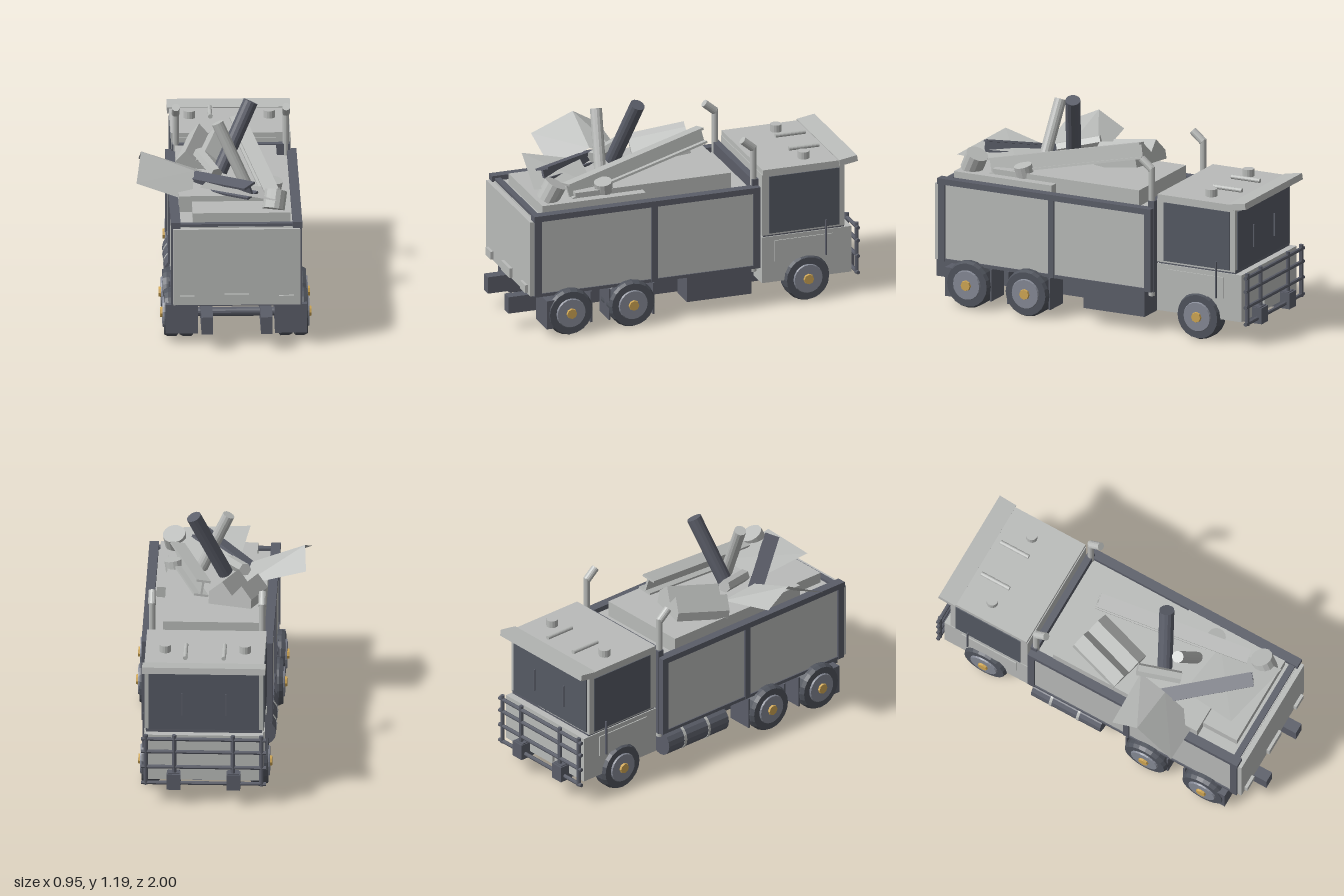
import * as THREE from 'three';

const mat = (name, color) => new THREE.MeshStandardMaterial({ name, color, flatShading: true });

export function createModel() {
  const light = mat('light grey paint', 0xb9bbb9);
  const dark = mat('dark frame grey', 0x5b5e69);
  const glass = mat('window grey', 0x555a64);
  const rubber = mat('tyre grey', 0x50545d);
  const rim = mat('rim grey', 0x858995);
  const gold = mat('hub gold', 0xcfa653);
  const sheetMat = mat('sheet grey', 0xb9bbb9);
  sheetMat.side = THREE.DoubleSide;

  const model = new THREE.Group();
  model.name = 'scrapTruck';
  const truck = new THREE.Group();
  truck.name = 'truck';
  truck.position.x = 0.067;
  const scrap = new THREE.Group();
  scrap.name = 'scrapLoad';
  model.add(truck, scrap);

  const V = (a) => new THREE.Vector3(...a);
  function add(parent, name, geo, m) {
    const mesh = new THREE.Mesh(geo, m);
    mesh.name = name;
    parent.add(mesh);
    return mesh;
  }
  // Box given by its limits on each axis
  function box(name, m, [x0, x1], [y0, y1], [z0, z1], parent = truck) {
    const b = add(parent, name, new THREE.BoxGeometry(x1 - x0, y1 - y0, z1 - z0), m);
    b.position.set((x0 + x1) / 2, (y0 + y1) / 2, (z0 + z1) / 2);
    return b;
  }
  function pair(name, m, [x0, x1], y, z) {
    box(name, m, [x0, x1], y, z);
    box(name, m, [-x1, -x0], y, z);
  }
  // Cylinder between two points
  function rod(name, m, a, b, r, parent = truck, sides = 14) {
    const p = V(a), q = V(b), d = q.clone().sub(p);
    const c = add(parent, name, new THREE.CylinderGeometry(r, r, d.length(), sides), m);
    c.position.copy(p).add(q).multiplyScalar(0.5);
    c.quaternion.setFromUnitVectors(new THREE.Vector3(0, 1, 0), d.normalize());
    return c;
  }
  // Section extruded from a to b
  function beam(name, m, a, b, pts, roll = 0) {
    const shape = new THREE.Shape(pts.map((p) => new THREE.Vector2(...p)));
    const depth = V(a).distanceTo(V(b));
    const geo = new THREE.ExtrudeGeometry(shape, { depth, bevelEnabled: false }).rotateZ(roll);
    const mesh = add(scrap, name, geo, m);
    mesh.position.set(...a);
    mesh.lookAt(...b);
  }
  // Thin quad from four corners
  function quad(name, pts) {
    const g = new THREE.BufferGeometry();
    g.setAttribute('position', new THREE.Float32BufferAttribute(pts.flat(), 3));
    g.setIndex([0, 1, 2, 0, 2, 3]);
    g.computeVertexNormals();
    add(scrap, name, g, sheetMat);
  }

  // Chassis
  pair('chassisRail', dark, [0.13, 0.193], [0.095, 0.19], [-0.99, 1]);
  box('chassisFloor', dark, [-0.32, 0.32], [0.225, 0.24], [-0.4, 0.9]);
  box('cabFloor', dark, [-0.13, 0.13], [0.12, 0.135], [-0.92, -0.45]);

  // Cargo body
  box('cargoBody', light, [-0.345, 0.345], [0.24, 0.675], [-0.37, 0.9]);
  box('tailgate', light, [-0.345, 0.345], [0.24, 0.67], [0.9, 0.93]);
  for (const x of [-0.27, 0, 0.27]) {
    const w = x ? 0.04 : 0.067;
    box('tailgateLatch', light, [x - w, x + w], [0.25, x ? 0.295 : 0.305], [0.93, 0.947]);
  }
  pair('topRail', dark, [0.305, 0.357], [0.67, 0.703], [-0.4, 0.91]);
  pair('bottomRail', dark, [0.32, 0.352], [0.232, 0.25], [-0.4, 0.9]);
  for (const [z0, z1] of [[0.865, 0.905], [0.195, 0.23], [-0.4, -0.36]])
    pair('sidePost', dark, [0.32, 0.356], [0.235, 0.7], [z0, z1]);
  box('rearTopRail', dark, [-0.31, 0.31], [0.66, 0.69], [0.86, 0.895]);
  box('headboard', dark, [-0.322, 0.322], [0.23, 0.74], [-0.402, -0.365]);

  // Stepped cargo mound
  box('rearLoadBlock', light, [-0.17, 0.36], [0.67, 0.735], [0.24, 0.84], scrap);
  box('frontLoadBlock', light, [-0.24, 0.31], [0.67, 0.765], [-0.27, 0.63], scrap);

  // Wheels
  function wheel(side, outer, width, z) {
    const g = new THREE.Group();
    g.name = 'wheel';
    g.position.set(side * outer, 0.132, z);
    g.rotation.z = -side * Math.PI / 2;
    truck.add(g);
    const n = width > 0.12 ? 2 : 1, w = width / n;
    for (let i = 0; i < n; i++) {
      const profile = [[0, -w], [0.11, -w], [0.132, -w * 0.8], [0.132, -w * 0.25], [0.122, 0], [0, 0]];
      const t = add(g, 'tyre', new THREE.LatheGeometry(profile.map((p) => new THREE.Vector2(...p)), 20), rubber);
      t.position.y = -i * w;
    }
    add(g, 'wheelRim', new THREE.CylinderGeometry(0.08, 0.086, 0.012, 20), rim).position.y = 0.003;
    add(g, 'hubCap', new THREE.CylinderGeometry(0.028, 0.032, 0.022, 8), gold).position.y = 0.01;
  }
  for (const s of [-1, 1]) {
    wheel(s, 0.39, 0.165, 0.71);
    wheel(s, 0.39, 0.165, 0.35);
    wheel(s, 0.343, 0.1, -0.68);
  }
  for (const z of [0.71, 0.35, -0.68])
    rod('axle', dark, [-0.3, 0.132, z], [0.3, 0.132, z], 0.025);
  pair('rearMudguard', dark, [0.21, 0.385], [0.052, 0.215], [0.74, 0.848]);
  for (const z of [0.22, 0.475, 0.58])
    pair('mudflap', dark, [0.21, 0.36], [0.05, 0.23], [z - 0.005, z + 0.005]);

  // Storage box and fuel tank
  box('storageBox', dark, [0.19, 0.34], [0.085, 0.23], [-0.355, 0.02]);
  rod('fuelTank', dark, [-0.3, 0.155, -0.37], [-0.3, 0.155, 0.06], 0.074, truck, 16);
  for (const z of [-0.25, -0.08])
    rod('tankBand', light, [-0.3, 0.155, z - 0.008], [-0.3, 0.155, z + 0.008], 0.077, truck, 16);

  // Cab
  box('cabLower', light, [-0.322, 0.322], [0.13, 0.395], [-0.94, -0.42]);
  box('cabWaist', dark, [-0.315, 0.315], [0.39, 0.415], [-0.9, -0.43]);
  box('cabUpper', light, [-0.322, 0.322], [0.405, 0.76], [-0.9, -0.42]);
  box('cabRoof', light, [-0.325, 0.325], [0.755, 0.787], [-0.89, -0.425]);
  const visor = box('sunVisor', light, [-0.335, 0.335], [0.765, 0.8], [-0.97, -0.865]);
  visor.rotation.x = 0.16;
  pair('sideWindow', glass, [0.32, 0.327], [0.415, 0.745], [-0.868, -0.463]);
  pair('doorPanel', light, [0.32, 0.328], [0.25, 0.37], [-0.83, -0.49]);
  pair('doorBar', dark, [0.328, 0.338], [0.25, 0.455], [-0.793, -0.785]);
  box('windshield', glass, [-0.3, 0.3], [0.415, 0.745], [-0.907, -0.898]);
  for (const x of [-0.12, 0.12])
    box('wiper', dark, [x - 0.004, x + 0.004], [0.5, 0.63], [-0.914, -0.905]);
  box('numberPlate', light, [-0.08, 0.08], [0.155, 0.21], [-0.955, -0.935]);
  for (const s of [-1, 1]) {
    rod('roofBeacon', light, [s * 0.217, 0.78, -0.7], [s * 0.217, 0.828, -0.7], 0.032);
    rod('roofHorn', light, [s * 0.105, 0.805, -0.83], [s * 0.105, 0.805, -0.655], 0.012);
    // Exhaust stack with slanted outlet
    rod('exhaustStack', light, [s * 0.3, 0.2, -0.378], [s * 0.3, 0.93, -0.378], 0.018);
    rod('exhaustOutlet', light, [s * 0.3, 0.915, -0.378], [s * 0.3, 0.968, -0.315], 0.022);
  }

  // Bull bar
  for (const y of [0.125, 0.22, 0.31, 0.385])
    rod('bullBarRail', dark, [-0.34, y, -0.972], [0.34, y, -0.972], 0.011, truck, 8);
  for (const x of [-0.315, -0.16, 0.16, 0.315])
    rod('bullBarPost', dark, [x, 0.115, -0.972], [x, 0.41, -0.972], 0.012, truck, 8);
  pair('bullBarMount', dark, [0.125, 0.2], [0.095, 0.185], [-1, -0.92]);

  // Scrap pipes and drums
  rod('darkPipe', dark, [-0.01, 0.8, 0.3], [0.16, 1.17, 0.215], 0.041, scrap);
  rod('lightPipe', light, [0.14, 0.74, 0.42], [-0.025, 1.105, 0.388], 0.033, scrap);
  rod('shortPipe', light, [-0.12, 0.87, 0.19], [-0.03, 0.82, 0.41], 0.035, scrap, 6);
  rod('drum', light, [0.27, 0.735, 0.78], [0.285, 0.828, 0.735], 0.062, scrap);
  rod('smallDrum', light, [0.27, 0.74, 0.45], [0.28, 0.8, 0.46], 0.05, scrap);

  // Scrap girders with an I section
  const iSection = (w, h, t) => [[-w, -h], [w, -h], [w, -h + t], [t / 2, -h + t], [t / 2, h - t], [w, h - t],
    [w, h], [-w, h], [-w, h - t], [-t / 2, h - t], [-t / 2, -h + t], [-w, -h + t]];
  beam('lightGirder', light, [0.1, 0.925, -0.18], [0.27, 0.765, 0.66], iSection(0.04, 0.045, 0.012), 0.2);
  beam('darkGirder', dark, [-0.18, 0.77, 0.34], [0.15, 0.835, 0.76], iSection(0.04, 0.035, 0.012), 0.3);

  // Corrugated scrap trough
  beam('foldedTrough', light, [-0.13, 0.8, 0.15], [-0.05, 0.86, -0.15],
    [[-0.12, -0.05], [0.12, -0.05], [0.12, 0], [0.06, 0.07], [0.01, 0.01], [-0.05, 0.08], [-0.12, 0.02]]);

  // Bent and flat scrap sheets
  quad('bentSheetFront', [[-0.47, 0.83, 0.6], [-0.17, 0.72, 0.59], [-0.15, 0.83, 0.38], [-0.44, 0.94, 0.37]]);
  quad('bentSheetBack', [[-0.44, 0.94, 0.37], [-0.15, 0.83, 0.38], [-0.1, 0.77, 0.2], [-0.45, 0.85, 0.22]]);
  quad('flatSheet', [[-0.13, 0.862, 0.78], [0.285, 0.808, 0.86], [0.25, 0.77, 0.5], [-0.08, 0.8, 0.46]]);

  return model;
}
